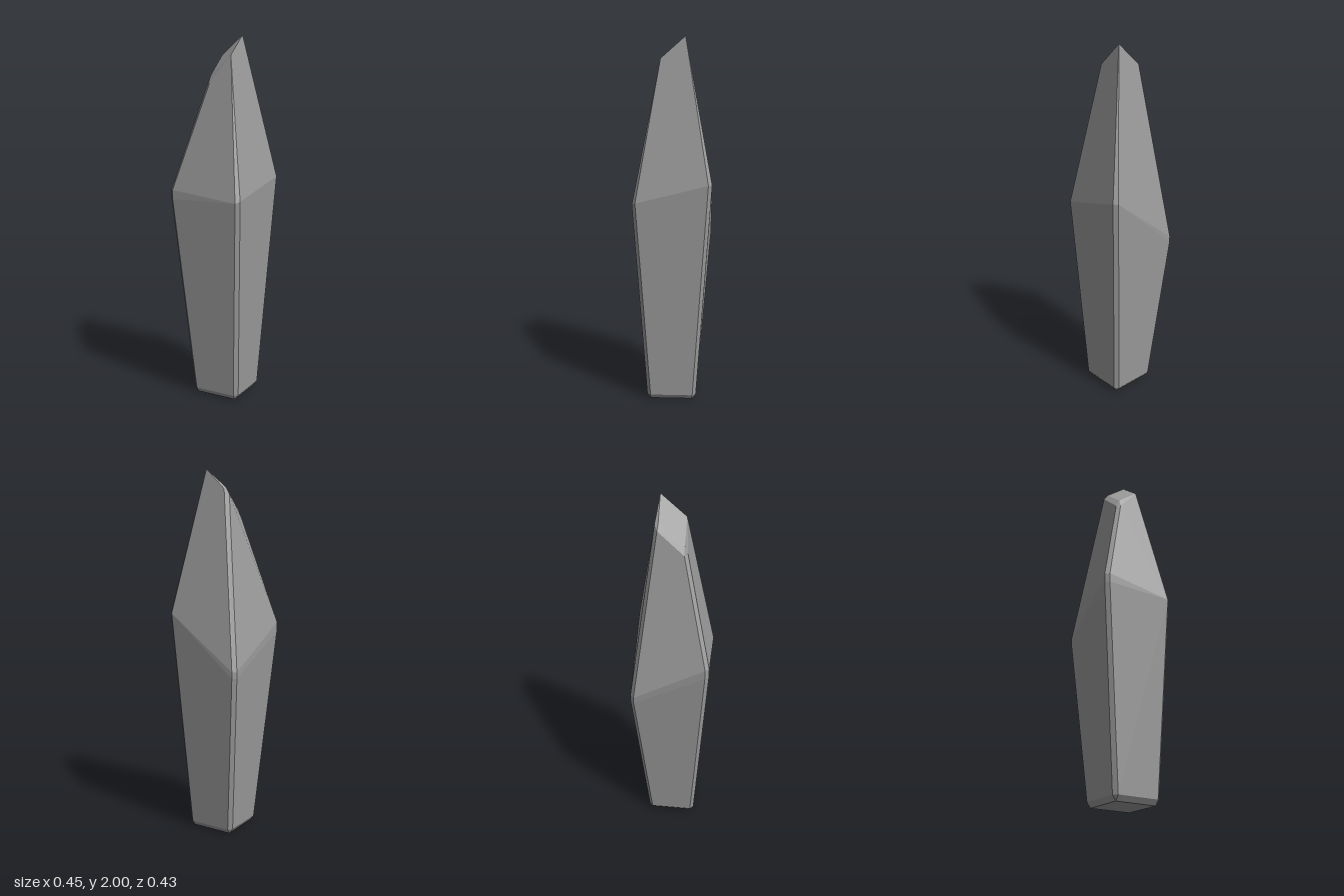
import * as THREE from 'three';

// Cross-sections, counterclockwise seen from above, two points per bevelled corner:
// front-left, front-right, back-right, back-left
const base = [
  [-0.105, 0, 0.12], [-0.105, 0, 0.12], [0.132, 0, 0.12], [0.132, 0, 0.12],
  [0.132, 0, -0.115], [0.132, 0, -0.115], [-0.105, 0, -0.115], [-0.105, 0, -0.115],
];
const foot = [
  [-0.125, 0.028, 0.12], [-0.105, 0.028, 0.14], [0.132, 0.028, 0.14], [0.152, 0.028, 0.12],
  [0.152, 0.028, -0.115], [0.132, 0.028, -0.135], [-0.105, 0.028, -0.135], [-0.125, 0.028, -0.115],
];
// The waist bevel is open on the left corners and closes to nothing on the right
const waistLow = [
  [-0.227, 1.12, 0.192], [-0.207, 1.12, 0.212], [0.178, 1.12, 0.212], [0.198, 1.13, 0.193],
  [0.226, 1.23, -0.195], [0.206, 1.23, -0.215], [-0.18, 0.905, -0.215], [-0.199, 0.905, -0.195],
];
const waistHigh = waistLow.map((p) => [...p]);
for (const i of [0, 1]) waistHigh[i][1] = 1.17;
for (const i of [6, 7]) waistHigh[i][1] = 0.94;
// Slanted tip, again bevelled only on the left
const tip = [
  [-0.07, 1.74, 0.063], [-0.05, 1.74, 0.08], [0.072, 1.885, 0.063], [0.072, 1.885, 0.063],
  [0.072, 2, -0.07], [0.072, 2, -0.07], [-0.05, 1.89, -0.085], [-0.073, 1.865, -0.07],
];
const cap = tip.map((p) => [...p]);
cap[0] = cap[1] = [-0.05, 1.785, 0.063];
cap[6] = cap[7] = [-0.05, 1.9, -0.066];

function crystalGeometry(rings) {
  const positions = [], normals = [];
  const vec = (p) => new THREE.Vector3(...p);
  // One flat facet with a single normal, split along its shorter diagonal
  const facet = (...corners) => {
    const [a, b, c, d] = corners.map(vec);
    const ac = c.clone().sub(a), bd = d.clone().sub(b);
    const normal = ac.clone().cross(bd).normalize();
    const triangles = ac.length() < bd.length() ? [[a, b, c], [a, c, d]] : [[a, b, d], [b, c, d]];
    for (const t of triangles) {
      if (new THREE.Triangle(...t).getArea() < 1e-7) continue;
      for (const p of t) {
        positions.push(p.x, p.y, p.z);
        normals.push(normal.x, normal.y, normal.z);
      }
    }
  };
  // Side facets between neighbouring rings
  for (let r = 0; r < rings.length - 1; r++) {
    const low = rings[r], high = rings[r + 1];
    for (let i = 0; i < 8; i++) {
      const j = (i + 1) % 8;
      facet(low[i], low[j], high[j], high[i]);
    }
  }
  // End facets
  const bottom = rings[0], top = rings[rings.length - 1];
  facet(bottom[6], bottom[4], bottom[2], bottom[0]);
  facet(top[0], top[2], top[4], top[6]);

  const geometry = new THREE.BufferGeometry();
  geometry.setAttribute('position', new THREE.Float32BufferAttribute(positions, 3));
  geometry.setAttribute('normal', new THREE.Float32BufferAttribute(normals, 3));
  return geometry;
}

export function createModel() {
  const model = new THREE.Group();
  model.name = 'crystal';
  const material = new THREE.MeshStandardMaterial({ color: 0x9b9b9b });
  const shard = new THREE.Mesh(crystalGeometry([base, foot, waistLow, waistHigh, tip, cap]), material);
  shard.name = 'crystalShard';
  model.add(shard);
  return model;
}
